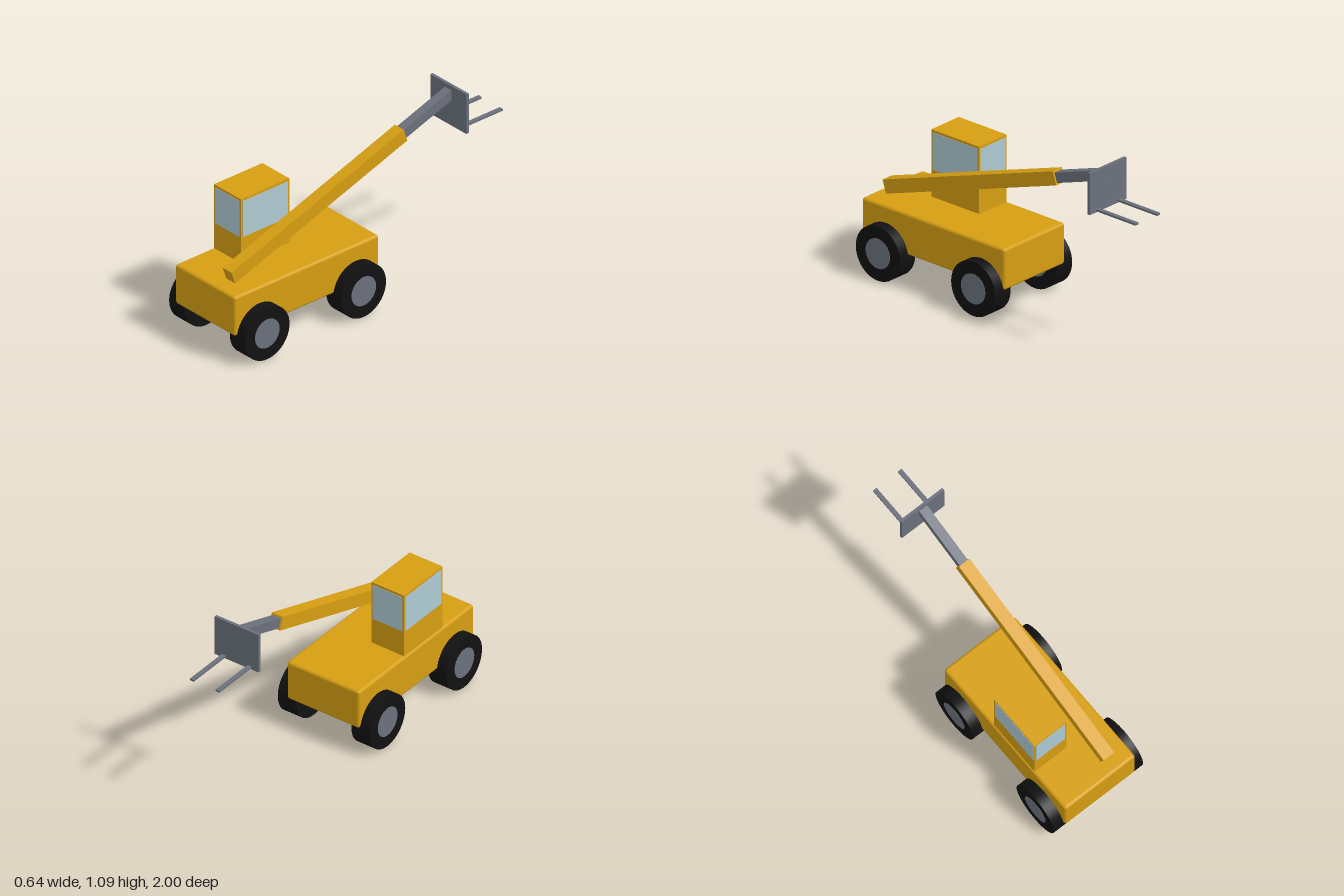
import * as THREE from 'three';
import { RoundedBoxGeometry } from 'three/addons/geometries/RoundedBoxGeometry.js';

const material = (name, color) => {
  const m = new THREE.MeshStandardMaterial({ color });
  m.name = name;
  return m;
};

export function createModel() {
  const yellow = material('yellow paint', 0xd69e12);
  const steel = material('grey steel', 0x6b707c);
  const rubber = material('black rubber', 0x111111);
  const glass = material('pale blue glass', 0xaecad2);

  const model = new THREE.Group();
  model.name = 'telescopicHandler';

  const add = (name, geometry, mat, parent = model) => {
    const mesh = new THREE.Mesh(geometry, mat);
    mesh.name = name;
    parent.add(mesh);
    return mesh;
  };
  // Box given by its extents on each axis
  const box = (name, mat, [x0, x1], [y0, y1], [z0, z1], parent = model) => {
    const mesh = add(name, new THREE.BoxGeometry(x1 - x0, y1 - y0, z1 - z0), mat, parent);
    mesh.position.set((x0 + x1) / 2, (y0 + y1) / 2, (z0 + z1) / 2);
    return mesh;
  };

  // Chassis
  const body = add('body', new RoundedBoxGeometry(0.5, 0.25, 1.06, 4, 0.018), yellow);
  body.position.set(0, 0.304, 0.47);

  // Cab with a thin pane on each side
  const cab = new THREE.Group();
  cab.name = 'cab';
  model.add(cab);
  const cx = [-0.24, -0.015], cz = [0.367, 0.721], paneY = [0.592, 0.82], t = 0.002;
  box('cabShell', yellow, cx, [0.42, 0.835], cz, cab);
  const paneX = [cx[0] + 0.011, cx[1] - 0.011], paneZ = [cz[0] + 0.011, cz[1] - 0.011];
  box('frontWindow', glass, paneX, paneY, [cz[1] - t, cz[1] + t], cab);
  box('backWindow', glass, paneX, paneY, [cz[0] - t, cz[0] + t], cab);
  box('rightWindow', glass, [cx[0] - t, cx[0] + t], paneY, paneZ, cab);
  box('leftWindow', glass, [cx[1] - t, cx[1] + t], paneY, paneZ, cab);

  // Four wheels, hubs showing on both faces
  const tyreGeometry = new THREE.CylinderGeometry(0.164, 0.164, 0.126, 48).rotateZ(Math.PI / 2);
  const hubGeometry = new THREE.CylinderGeometry(0.09, 0.09, 0.13, 40).rotateZ(Math.PI / 2);
  for (const [end, z] of [['front', 0.82], ['back', 0.112]]) {
    for (const [side, x] of [['Left', 0.253], ['Right', -0.253]]) {
      const wheel = new THREE.Group();
      wheel.name = `${end}${side}Wheel`;
      wheel.position.set(x, 0.164, z);
      add('tyre', tyreGeometry, rubber, wheel);
      add('hub', hubGeometry, steel, wheel);
      model.add(wheel);
    }
  }

  // Telescopic boom, local -z running along its length
  const boom = new THREE.Group();
  boom.name = 'boom';
  boom.position.set(0.1125, 0.483, 0.9225);
  boom.rotation.x = Math.atan2(0.429, 1.264);
  model.add(boom);
  box('outerBoom', yellow, [-0.0375, 0.0375], [-0.041, 0.041], [-1.335, 0], boom);
  box('innerBoom', steel, [-0.028, 0.028], [-0.03, 0.03], [-1.71, -1.2], boom);

  // Fork carriage
  const carriage = new THREE.Group();
  carriage.name = 'forkCarriage';
  model.add(carriage);
  box('backPlate', steel, [-0.038, 0.263], [0.836, 1.087], [-0.706, -0.688], carriage);
  for (const [name, x] of [['rightFork', 0.023], ['leftFork', 0.2]]) {
    box(name, steel, [x - 0.013, x + 0.013], [0.844, 0.856], [-1, -0.7], carriage);
  }
  return model;
}
